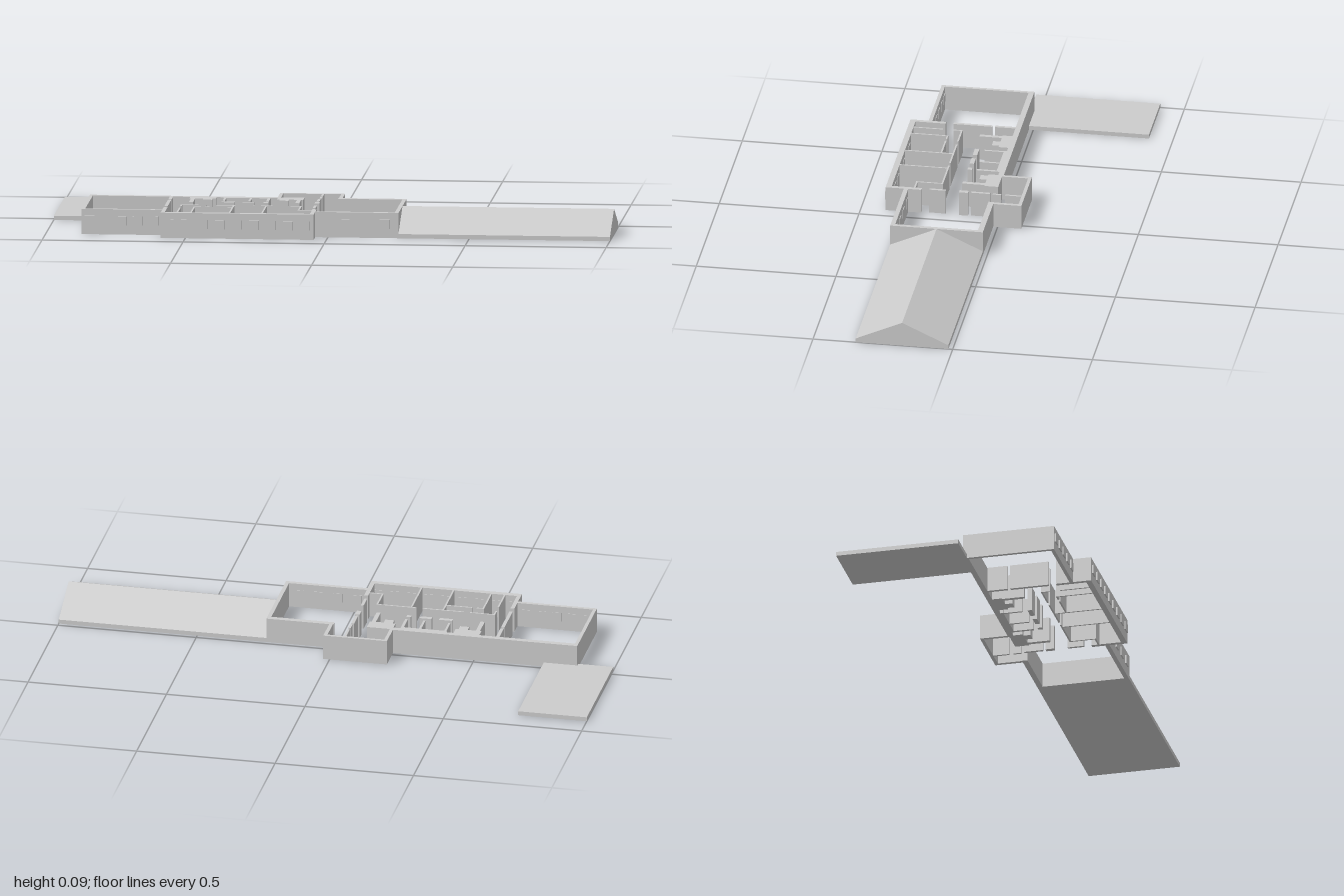
import * as THREE from 'three';

const H = 0.09; // wall height
const material = new THREE.MeshStandardMaterial({ color: 0xcccccc, flatShading: true });

// Box given by its limits in x, z and y
function block(parent, name, x0, x1, z0, z1, y0 = 0, y1 = H) {
  const mesh = new THREE.Mesh(new THREE.BoxGeometry(x1 - x0, y1 - y0, z1 - z0), material);
  mesh.position.set((x0 + x1) / 2, (y0 + y1) / 2, (z0 + z1) / 2);
  mesh.name = name;
  parent.add(mesh);
}

function section(parent, name, rows) {
  const group = new THREE.Group();
  group.name = name;
  rows.forEach((r) => block(group, name + 'Part', ...r));
  parent.add(group);
}

// Row of window panels set through a front wall
function windows(parent, name, x0, x1, zIn, zOut, count) {
  const group = new THREE.Group();
  group.name = name;
  const step = (x1 - x0) / count;
  for (let i = 0; i < count; i++) {
    const x = x0 + step * (i + 0.5);
    block(group, 'window', x - 0.017, x + 0.017, zIn - 0.002, zOut + 0.005, 0.034, 0.066);
  }
  parent.add(group);
}

export function createModel() {
  const model = new THREE.Group();
  model.name = 'buildingComplex';

  // Low terrace behind the left hall
  block(model, 'terraceSlab', -1, -0.752, -0.414, 0.03, 0, 0.015);

  // Gabled wing with a shallow base
  const gable = new THREE.Shape([
    [-0.347, 0], [-0.0155, 0], [-0.0155, 0.015], [-0.181, H], [-0.347, 0.015],
  ].map(([x, y]) => new THREE.Vector2(x, y)));
  const wing = new THREE.Mesh(
    new THREE.ExtrudeGeometry(gable, { depth: 0.75, bevelEnabled: false }), material);
  wing.rotation.y = Math.PI / 2;
  wing.position.x = 0.25;
  wing.name = 'gabledWing';
  model.add(wing);

  // Outer walls
  section(model, 'backWall', [
    [-0.873, -0.205, 0.0155, 0.035],
    [0.008, 0.25, 0.0155, 0.035],
  ]);
  section(model, 'leftHallWalls', [
    [-0.873, -0.861, 0.035, 0.347],
    [-0.861, -0.588, 0.334, 0.347],
  ]);
  section(model, 'rightHallWalls', [
    [0.236, 0.25, 0.035, 0.347],
    [-0.045, 0.236, 0.331, 0.347],
  ]);
  section(model, 'centreFrontWall', [[-0.588, -0.045, 0.392, 0.412]]);
  section(model, 'annexWalls', [
    [-0.207, -0.195, -0.085, 0.03],
    [-0.195, 0.01, -0.085, -0.073],
    [0.01, 0.023, -0.085, 0.0155],
    [-0.058, -0.05, -0.073, -0.015],
    [-0.058, -0.05, 0, 0.03],
  ]);

  // Cross walls between the centre and the halls, broken by doorways
  section(model, 'leftCrossWall', [
    [-0.588, -0.576, 0.035, 0.108],
    [-0.588, -0.576, 0.118, 0.257],
    [-0.588, -0.574, 0.284, 0.392],
  ]);
  section(model, 'rightCrossWall', [
    [-0.062, -0.052, 0.04, 0.108],
    [-0.065, -0.048, 0.118, 0.15],
    [-0.062, -0.052, 0.198, 0.257],
    [-0.06, -0.045, 0.284, 0.392],
  ]);

  // Two service cores on the back side
  section(model, 'leftCore', [
    [-0.515, -0.422, 0.02, 0.07],
    [-0.466, -0.433, 0.07, 0.096],
    [-0.51, -0.495, 0.07, 0.15],
  ]);
  section(model, 'rightCore', [
    [-0.205, -0.112, 0.02, 0.07],
    [-0.195, -0.162, 0.07, 0.096],
    [-0.134, -0.119, 0.07, 0.15],
  ]);

  // Small rooms between the cores
  section(model, 'backRooms', [
    [-0.396, -0.23, 0.035, 0.046],
    [-0.394, -0.386, 0.046, 0.115],
    [-0.303, -0.295, 0.046, 0.117],
    [-0.24, -0.23, 0.046, 0.117],
    [-0.396, -0.348, 0.134, 0.15],
    [-0.321, -0.278, 0.134, 0.15],
    [-0.246, -0.23, 0.134, 0.15],
  ]);

  // Thin partitions of the front rooms: x0, z0, x1, z1
  const t = 0.003;
  section(model, 'frontPartitions', [
    [-0.53, 0.219, -0.444, 0.219], [-0.417, 0.219, -0.273, 0.219],
    [-0.246, 0.219, -0.107, 0.219], [-0.53, 0.219, -0.53, 0.246],
    [-0.53, 0.289, -0.53, 0.392], [-0.481, 0.262, -0.481, 0.392],
    [-0.481, 0.262, -0.46, 0.262], [-0.438, 0.262, -0.345, 0.262],
    [-0.345, 0.219, -0.345, 0.392], [-0.23, 0.219, -0.23, 0.392],
    [-0.107, 0.219, -0.107, 0.31], [-0.107, 0.31, -0.06, 0.31],
  ].map(([x0, z0, x1, z1]) => [x0 - t, x1 + t, z0 - t, z1 + t]));

  // Front windows
  windows(model, 'leftHallWindows', -0.873, -0.59, 0.334, 0.347, 5);
  windows(model, 'centreWindows', -0.588, -0.045, 0.392, 0.412, 9);
  windows(model, 'rightHallWindows', -0.045, 0.236, 0.331, 0.347, 4);

  return model;
}
